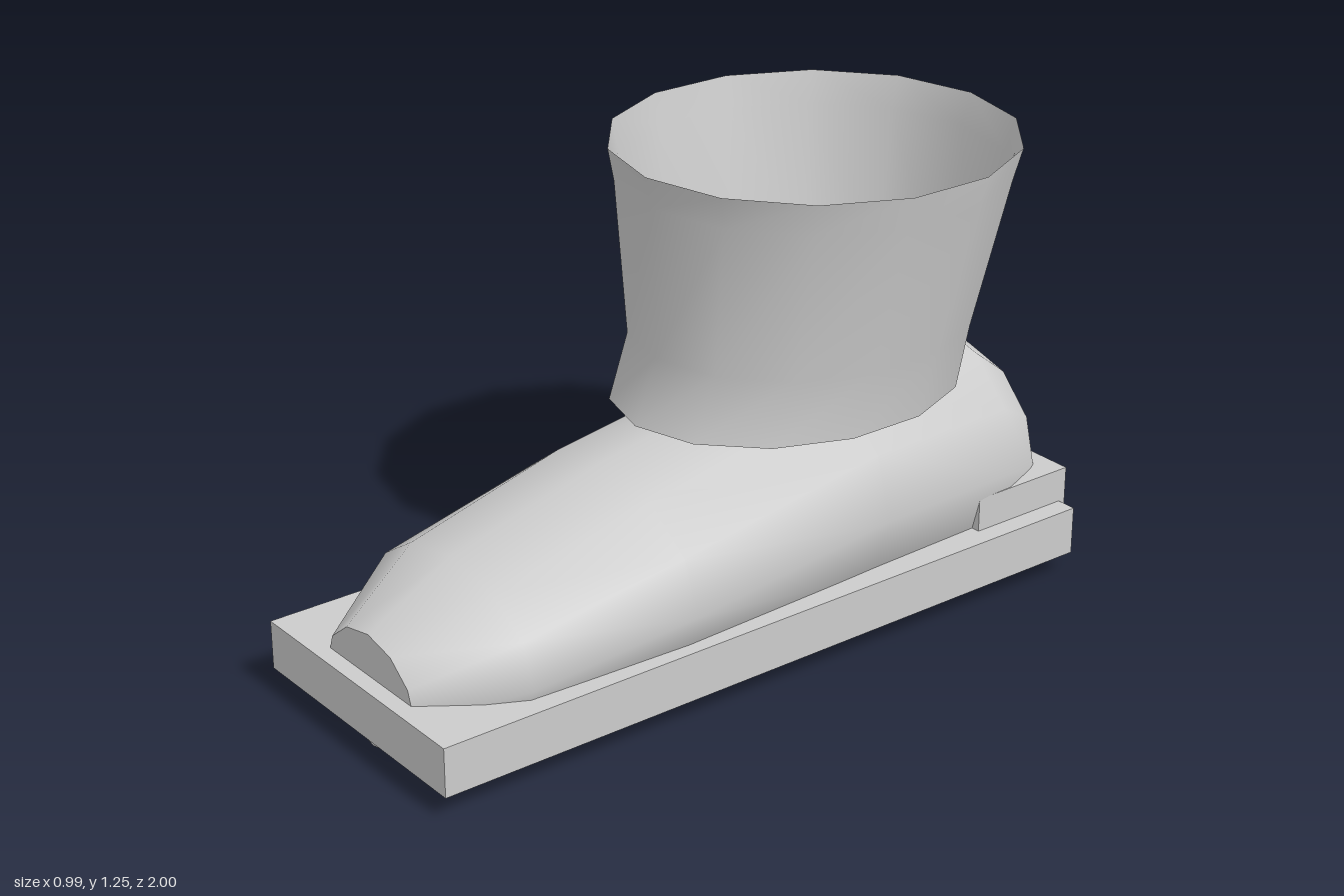
import * as THREE from 'three';

// Smooth skin through a list of closed rings of Vector3
function loft(rings) {
  const n = rings[0].length, pos = [], idx = [];
  rings.forEach(r => r.forEach(p => pos.push(p.x, p.y, p.z)));
  for (let i = 0; i < rings.length - 1; i++) {
    for (let j = 0; j < n; j++) {
      const k = (j + 1) % n;
      const a = i * n + j, b = i * n + k, c = a + n, d = b + n;
      idx.push(a, c, b, b, c, d);
    }
  }
  return build(pos, idx);
}

// Flat end face of a ring
function cap(ring, flip) {
  const pos = [], idx = [];
  ring.forEach(p => pos.push(p.x, p.y, p.z));
  for (let j = 1; j < ring.length - 1; j++) idx.push(0, flip ? j + 1 : j, flip ? j : j + 1);
  return build(pos, idx);
}

function build(pos, idx) {
  const g = new THREE.BufferGeometry();
  g.setAttribute('position', new THREE.Float32BufferAttribute(pos, 3));
  g.setIndex(idx);
  g.computeVertexNormals();
  return g;
}

const ring = (n, point) => Array.from({ length: n }, (_, j) => point(j / n * Math.PI * 2));

export function createModel() {
  const group = new THREE.Group();
  const gray = new THREE.MeshStandardMaterial({ color: 0xcccccc, side: THREE.DoubleSide });
  gray.name = 'light gray';

  const add = (name, geometry, parent = group) => {
    const mesh = new THREE.Mesh(geometry, gray);
    mesh.name = name;
    parent.add(mesh);
  };
  const box = (name, halfWidth, y0, y1, z0, z1) => {
    const g = new THREE.BoxGeometry(halfWidth * 2, y1 - y0, z1 - z0);
    add(name, g.translate(0, (y0 + y1) / 2, (z0 + z1) / 2));
  };

  // Sole slab and the heel counter
  box('sole', 0.38, 0.063, 0.193, -0.98, 1);
  box('heelCounter', 0.325, 0.063, 0.285, -1, -0.69);

  // Foot: elliptical sections from toe to heel [z, halfWidth, top]
  const bottom = 0.005;
  const footRings = [
    [0.955, 0.19, 0.305],
    [0.72, 0.335, 0.435],
    [0.27, 0.373, 0.552],
    [-0.35, 0.354, 0.665],
    [-0.8, 0.335, 0.66],
    [-0.945, 0.26, 0.545],
  ].map(([z, w, top]) => ring(12, a => new THREE.Vector3(
    w * Math.cos(a),
    (top + bottom) / 2 + (top - bottom) / 2 * Math.sin(a),
    z)));
  const foot = new THREE.Group();
  foot.name = 'foot';
  group.add(foot);
  add('footSkin', loft(footRings), foot);
  add('toeEnd', cap(footRings[0], false), foot);
  add('heelEnd', cap(footRings[5], true), foot);

  // Open flared ankle cuff, top to bottom [y, radiusX, frontZ, backZ]
  const cuffRings = [
    [1.252, 0.508, 0.135, -0.91],
    [1.17, 0.492, 0.12, -0.882],
    [0.78, 0.405, 0.108, -0.808],
    [0.618, 0.393, 0.172, -0.785],
  ].map(([y, rx, front, back]) => ring(14, a => new THREE.Vector3(
    rx * Math.sin(a),
    y,
    (front + back) / 2 + (front - back) / 2 * Math.cos(a))));
  add('ankleCuff', loft(cuffRings));

  return group;
}
